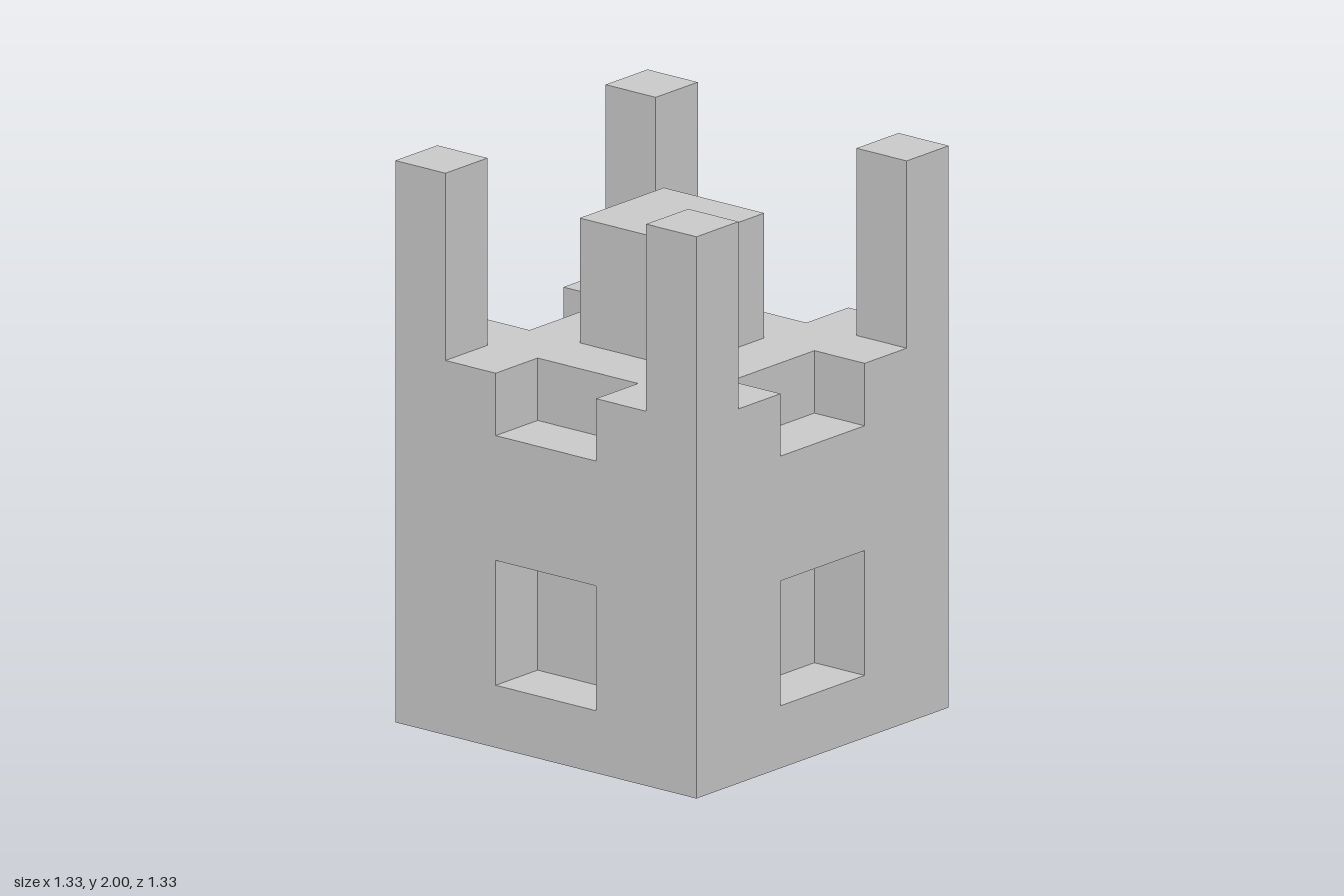
import * as THREE from 'three';
import { mergeGeometries, mergeVertices } from 'three/addons/utils/BufferGeometryUtils.js';

const U = 2 / 9;          // one block module; the tower is 6 x 9 x 6 modules
const WIDTH = 6, WALL_TOP = 6, HEIGHT = 9;

// Which modules of the tower are filled
function isSolid(i, j, k) {
  const inside = n => n >= 0 && n < WIDTH;
  if (!inside(i) || !inside(k) || j < 0 || j >= HEIGHT) return false;
  const outer = n => n === 0 || n === WIDTH - 1;
  const middle = n => n === 2 || n === 3;

  // corner posts rise above the walls
  if (j >= WALL_TOP) return outer(i) && outer(k);

  // windows (rows 1-2) and parapet notches (row 5), one module deep
  const midWall = (outer(i) && middle(k)) || (outer(k) && middle(i));
  const recessRow = j === 1 || j === 2 || j === 5;
  return !(midWall && recessRow);
}

// Seamless skin: only faces between a filled and an empty module
function towerGeometry() {
  const sides = [
    { d: [0, 0, 1], rx: 0, ry: 0 },
    { d: [0, 0, -1], rx: 0, ry: Math.PI },
    { d: [1, 0, 0], rx: 0, ry: Math.PI / 2 },
    { d: [-1, 0, 0], rx: 0, ry: -Math.PI / 2 },
    { d: [0, 1, 0], rx: -Math.PI / 2, ry: 0 },
    { d: [0, -1, 0], rx: Math.PI / 2, ry: 0 },
  ];
  const faces = [];
  for (let i = 0; i < WIDTH; i++)
    for (let j = 0; j < HEIGHT; j++)
      for (let k = 0; k < WIDTH; k++) {
        if (!isSolid(i, j, k)) continue;
        for (const { d, rx, ry } of sides) {
          if (isSolid(i + d[0], j + d[1], k + d[2])) continue;
          const face = new THREE.PlaneGeometry(U, U);
          face.deleteAttribute('uv');
          face.translate(0, 0, U / 2).rotateX(rx).rotateY(ry);
          face.translate((i + 0.5 - WIDTH / 2) * U, (j + 0.5) * U, (k + 0.5 - WIDTH / 2) * U);
          faces.push(face);
        }
      }
  return mergeVertices(mergeGeometries(faces), 1e-4);
}

export function createModel() {
  const group = new THREE.Group();
  group.name = 'castleTower';
  const material = new THREE.MeshStandardMaterial({ color: 0xcccccc, flatShading: true });

  // Walls, windows, notches and corner posts
  const tower = new THREE.Mesh(towerGeometry(), material);
  tower.name = 'towerWithCornerPosts';

  // Cube standing in the middle of the roof
  const block = new THREE.Mesh(new THREE.BoxGeometry(2 * U, 2 * U, 2 * U), material);
  block.name = 'roofBlock';
  block.position.y = (WALL_TOP + 1) * U;

  group.add(tower, block);
  return group;
}
